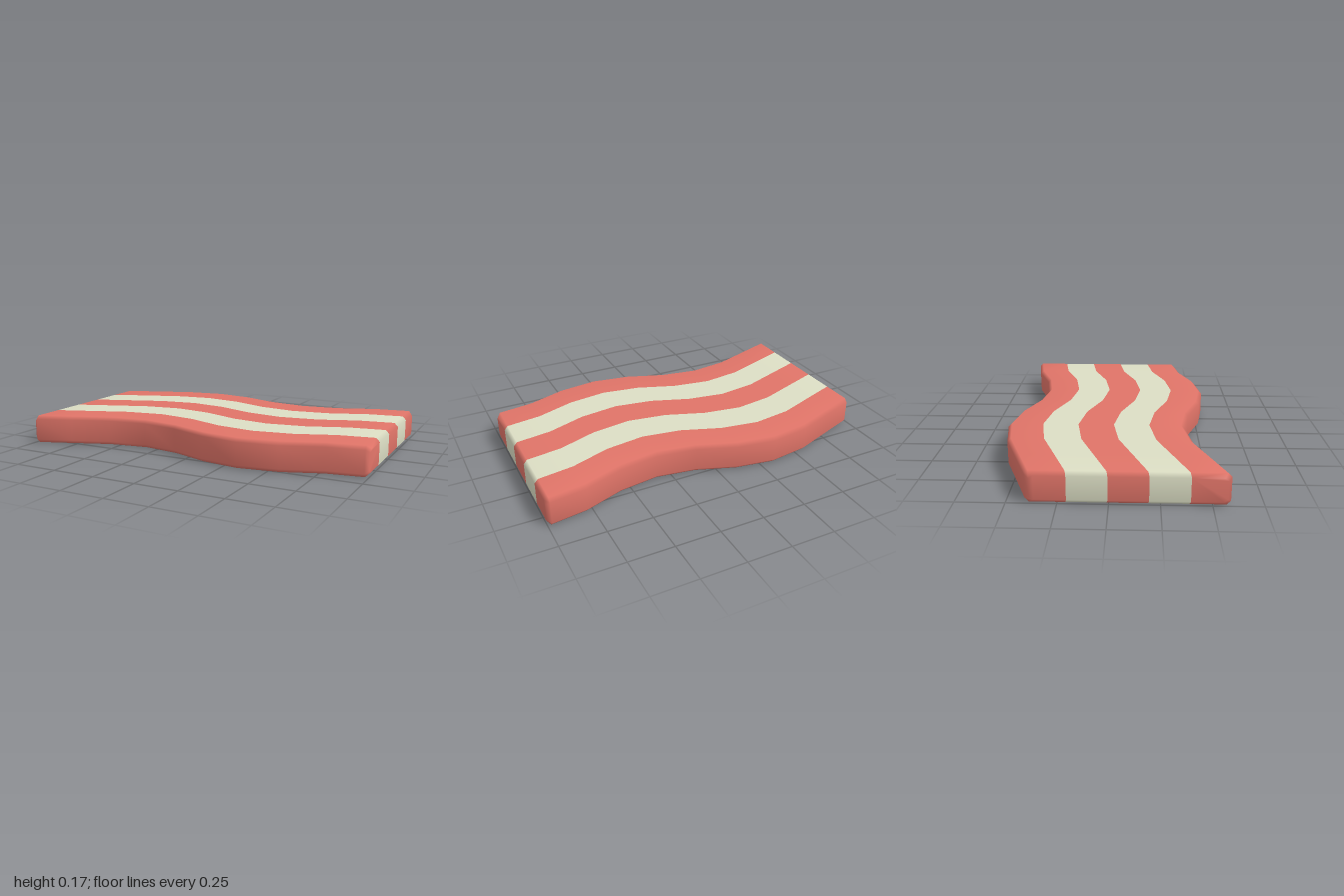
import * as THREE from 'three';

const HEIGHT = 0.165, BEVEL = 0.02, STRIPES = 5;

// Wavy centre line: [x, z offset]; the first and last are inset end faces
const PATH = [
  [-1, 0.095], [-0.98, 0.09], [-0.78, 0.017], [-0.56, -0.064], [-0.333, -0.098], [-0.111, -0.064],
  [0.111, 0.017], [0.333, 0.05], [0.56, 0.017], [0.78, -0.064], [0.98, -0.095], [1, -0.098],
];

// Closed bevelled cross-section as [z, y]: top, front side, bottom, back side
function section(inset) {
  const b = inset ? BEVEL : 0;
  const outer = 0.498 - b, edge = outer - BEVEL;
  const zs = [-edge, -0.3, -0.1, 0.1, 0.3, edge];
  const top = HEIGHT - b, sideTop = HEIGHT - BEVEL - b * 0.7, sideLow = HEIGHT - sideTop;
  return [
    ...zs.map((z) => [z, top]),
    [outer, sideTop], [outer, sideLow],
    ...zs.map((z) => [-z, b]),
    [-outer, sideLow], [-outer, sideTop],
  ];
}

// Which stripe a segment of the cross-section belongs to
function stripeOf(j) {
  if (j < 5) return j;
  if (j < 8) return 4;
  return j < 13 ? 12 - j : 0;
}

export function createModel() {
  const group = new THREE.Group();
  group.name = 'stripedStrip';
  const red = new THREE.MeshStandardMaterial({ color: 0xe07468 });
  red.name = 'meat red';
  const cream = new THREE.MeshStandardMaterial({ color: 0xdcdec4 });
  cream.name = 'fat cream';

  // Sweep the cross-section along the wave
  const positions = [];
  const last = PATH.length - 1;
  PATH.forEach(([x, offset], i) => {
    for (const [z, y] of section(i === 0 || i === last)) positions.push(x, y, z + offset);
  });

  const count = 16;
  const faces = Array.from({ length: STRIPES }, () => []);
  for (let i = 0; i < last; i++) {
    for (let j = 0; j < count; j++) {
      const next = (j + 1) % count;
      const a = i * count + j, b = i * count + next;
      const c = b + count, d = a + count;
      faces[stripeOf(j)].push(a, b, c, a, c, d);
    }
  }

  // Flat end faces, one polygon per stripe
  for (let k = 0; k < STRIPES; k++) {
    let loop = [k, k + 1, 12 - k, 13 - k];
    if (k === 0) loop = [0, 1, 12, 13, 14, 15];
    if (k === STRIPES - 1) loop = [4, 5, 6, 7, 8, 9];
    const base = last * count;
    for (let n = 1; n < loop.length - 1; n++) {
      faces[k].push(base + loop[0], base + loop[n], base + loop[n + 1]);
      faces[k].push(loop[0], loop[n + 1], loop[n]);
    }
  }

  // Smooth normals are computed once over the whole strip so stripes join seamlessly
  const whole = new THREE.BufferGeometry();
  whole.setAttribute('position', new THREE.Float32BufferAttribute(positions, 3));
  whole.setIndex(faces.flat());
  whole.computeVertexNormals();

  // Alternating stripes
  faces.forEach((index, k) => {
    const geometry = new THREE.BufferGeometry();
    geometry.setAttribute('position', whole.getAttribute('position').clone());
    geometry.setAttribute('normal', whole.getAttribute('normal').clone());
    geometry.setIndex(index);
    const mesh = new THREE.Mesh(geometry, k % 2 ? cream : red);
    mesh.name = (k % 2 ? 'fatStripe' : 'meatStripe') + (k + 1);
    group.add(mesh);
  });
  return group;
}
